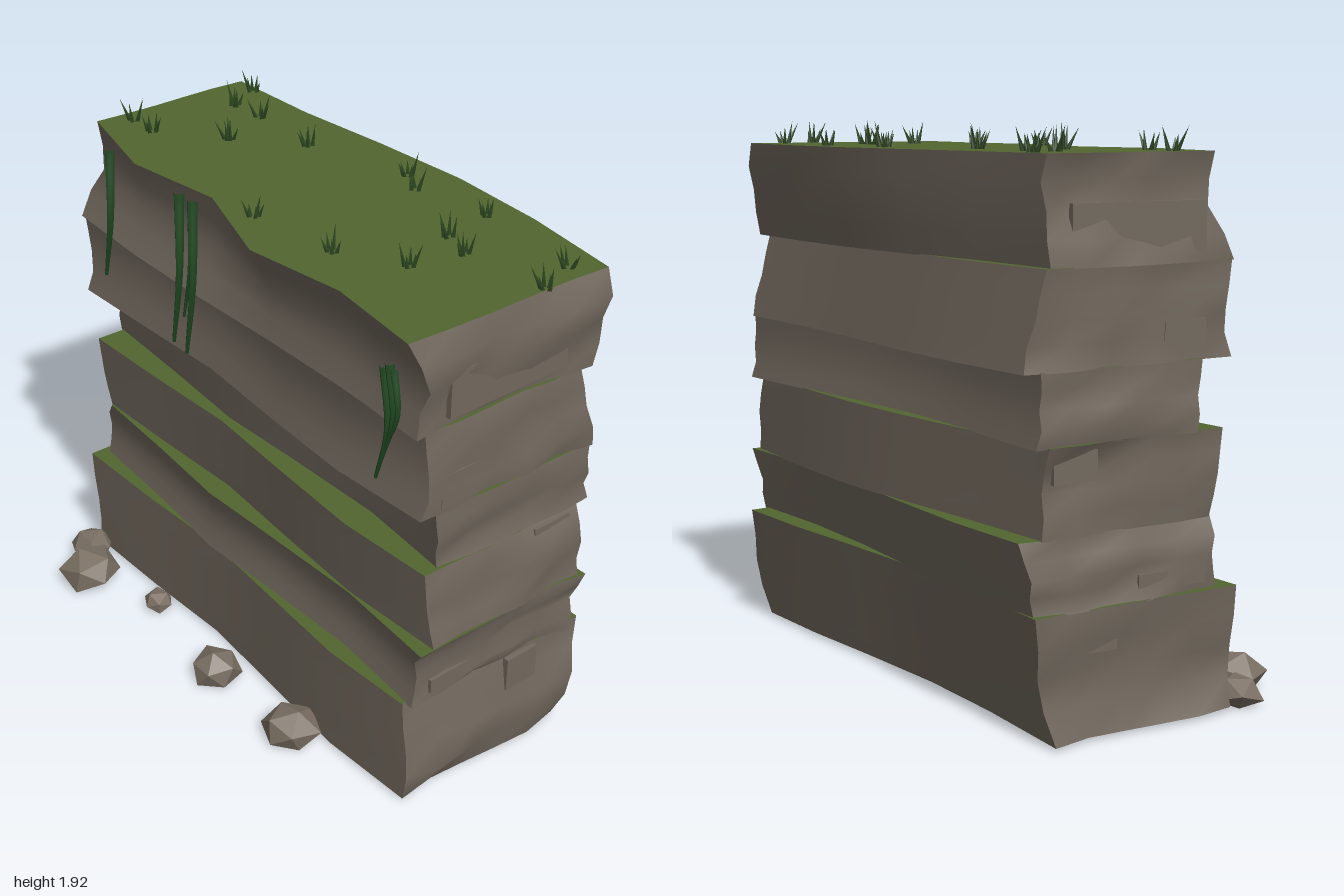
import * as THREE from 'three';

const material = (name, color, extra) => {
  const m = new THREE.MeshStandardMaterial({ color, ...extra });
  m.name = name;
  return m;
};
const rock = material('rock', 0x736a5f);
const stone = material('loose stone', 0x7a6f63, { flatShading: true });
const moss = material('moss', 0x516630);
const vineGreen = material('vine green', 0x1f4720);
const bladeGreen = material('grass blade green', 0x2f4a22, { side: THREE.DoubleSide });

const lerp = THREE.MathUtils.lerp;
// Repeatable noise in -1..1
const noise = (a, b = 0, c = 0) => {
  const s = Math.sin(a * 12.99 + b * 78.23 + c * 37.72) * 43758.5453;
  return (s - Math.floor(s)) * 2 - 1;
};

// Rock layers from the ground up: height of the top, then the base, lip and hollow
// between them for the front and the back
const strata = [
  { top: 0.43, front: [0.26, 0.265, 0], back: [-0.43, -0.5, 0] },
  { top: 0.66, front: [0.24, 0.235, 0.02], back: [-0.47, -0.51, 0] },
  { top: 0.95, front: [0.19, 0.215, 0], back: [-0.485, -0.48, 0] },
  { top: 1.18, front: [0.14, 0.165, 0], back: [-0.485, -0.46, 0.01] },
  { top: 1.49, front: [0.25, 0.235, 0.02], back: [-0.515, -0.45, 0] },
  { top: 1.83, front: [0.275, 0.26, 0.04], back: [-0.465, -0.5, -0.005] },
];
// Front edge of the summit, left end of the array at -x
const rim = [0.18, 0.27, 0.21, 0.33, 0.27, 0.31];

// A rock layer with a mossy top, shaped from a subdivided box
function makeStratum(s, n) {
  const geo = new THREE.BoxGeometry(1, 1, 1, 5, 4, 5);
  const p = geo.attributes.position;
  const summit = n === strata.length - 1;
  const bottom = n ? strata[n - 1].top - 0.004 : 0.015;
  for (let q = 0; q < p.count; q++) {
    const i = Math.round((p.getX(q) + 0.5) * 5);
    const v = p.getY(q) + 0.5, j = Math.round(v * 4);
    const w = p.getZ(q) + 0.5, k = Math.round(w * 5);
    const wave = summit ? 0.015 * Math.sin(i * 1.2) : 0.02 * Math.sin(i * 1.7 + 1.2 - n * 3.1);
    const bow = Math.sin(Math.PI * v);
    const front = lerp(s.front[0] + wave, summit ? rim[i] : s.front[1] + wave, v) - s.front[2] * bow;
    const back = lerp(s.back[0], s.back[1], v) + s.back[2] * bow
      - (summit ? lerp(0.03, 0.048, v) : 0.03) * Math.sin(i - 1.7 + (5 - n) * 2.2);
    let x = lerp(-0.945, 0.955, i / 5);
    if (i === 0 || i === 5) x += (noise(j, n) * 0.02 + noise(k, j, n) * 0.016) * (summit && j === 4 ? 0.4 : 1);
    p.setXYZ(q, x, lerp(bottom, s.top, v), lerp(back, front, w));
  }
  geo.computeVertexNormals();
  const mesh = new THREE.Mesh(geo, [rock, rock, moss, rock, rock, rock]);
  mesh.name = 'rockStratum';
  return mesh;
}

// Small slab half buried in one end of the cliff
function makeSlab([z, y, depth, height], side) {
  const slab = new THREE.Mesh(new THREE.BoxGeometry(0.1, height, depth), rock);
  slab.position.set(0.005 + side * 0.903, y, z);
  slab.rotation.y = side * 0.04;
  slab.name = 'sideSlab';
  return slab;
}

// Bowed vine that narrows to its tip
function makeVine([x, top, tip, radius]) {
  const curve = new THREE.CatmullRomCurve3([
    new THREE.Vector3(x, top, top > 1.75 ? 0.265 : 0.29),
    new THREE.Vector3(x + 0.03, (top + tip) / 2, 0.295),
    new THREE.Vector3(x - 0.02, tip, 0.295),
  ]);
  const rings = 12, sides = 6;
  const geo = new THREE.TubeGeometry(curve, rings, radius, sides);
  const p = geo.attributes.position, v = new THREE.Vector3();
  for (let q = 0; q < p.count; q++) {
    const t = Math.floor(q / (sides + 1)) / rings;
    v.fromBufferAttribute(p, q).lerp(curve.getPointAt(t), t * 0.65);
    p.setXYZ(q, v.x, v.y, v.z);
  }
  geo.computeVertexNormals();
  const mesh = new THREE.Mesh(geo, vineGreen);
  mesh.name = 'hangingVine';
  return mesh;
}

// Faceted stone with a flattened base
function makeStone([x, z, r], n) {
  const geo = new THREE.IcosahedronGeometry(1, 0);
  geo.rotateX(n * 1.3 + 0.4).rotateY(n * 2.1);
  const p = geo.attributes.position;
  for (let q = 0; q < p.count; q++) {
    const a = p.getX(q), b = p.getY(q), c = p.getZ(q);
    const k = r * (1.02 + 0.09 * Math.sin(a * 5 + b * 7 + c * 3 + n));
    p.setXYZ(q, a * k, Math.max(0, r * (0.42 + b * 0.78)), c * k);
  }
  geo.computeVertexNormals();
  const mesh = new THREE.Mesh(geo, stone);
  mesh.position.set(x, 0.003, z);
  mesh.name = 'looseStone';
  return mesh;
}

// Clump of unevenly leaning grass blades
function makeTuft([x, z], n) {
  const tuft = new THREE.Group();
  tuft.name = 'grassTuft';
  for (let i = 0; i < 5; i++) {
    const h = 0.07 + 0.024 * noise(n, i);
    const blade = new THREE.Mesh(new THREE.ConeGeometry(0.009, h, 3).translate(0, h / 2, 0), bladeGreen);
    blade.name = 'grassBlade';
    const a = i * 1.26 + n + noise(i, n) * 0.6;
    const lean = 0.28 + 0.2 * noise(n, i, 2);
    blade.position.set(Math.cos(a) * 0.014, 0, Math.sin(a) * 0.014);
    blade.rotation.set(Math.sin(a) * lean, 0, -Math.cos(a) * lean);
    tuft.add(blade);
  }
  tuft.position.set(x, 1.828, z);
  return tuft;
}

export function createModel() {
  const model = new THREE.Group();
  model.name = 'rockCliff';
  strata.forEach((s, n) => model.add(makeStratum(s, n)));

  // Slabs on both ends: z, y, depth, height
  const slabs = [[0.04, 0.48, 0.26, 0.055], [-0.25, 0.35, 0.14, 0.13], [-0.34, 0.88, 0.16, 0.1],
    [0.08, 1.25, 0.16, 0.12], [-0.1, 1.6, 0.5, 0.16]];
  for (const side of [-1, 1]) slabs.forEach(s => model.add(makeSlab(s, side)));

  // Vines over the front edge: x, top, tip, radius
  const vines = [[-0.735, 1.82, 1.33, 0.02], [-0.3, 1.82, 1.25, 0.02], [-0.22, 1.82, 1.24, 0.02],
    [-0.23, 1.82, 1.38, 0.014], [0.82, 1.69, 1.28, 0.016], [0.845, 1.71, 1.36, 0.016], [0.865, 1.7, 1.42, 0.013]];
  vines.forEach(v => model.add(makeVine(v)));

  // Stones at the foot: x, z, radius
  const stones = [[-0.915, 0.345, 0.088], [-0.77, 0.44, 0.116], [-0.46, 0.325, 0.06],
    [0.02, 0.385, 0.096], [0.45, 0.365, 0.108]];
  stones.forEach((s, n) => model.add(makeStone(s, n)));

  // Grass on the summit: x, z
  const tufts = [[-0.84, -0.43], [-0.77, -0.3], [-0.63, -0.31], [-0.33, -0.3], [0.07, -0.42], [0.17, -0.37],
    [0.46, -0.43], [0.5, -0.23], [0.62, -0.19], [0.88, -0.39], [0.94, -0.24], [0.58, 0], [0.36, 0.13],
    [0.01, 0.18], [-0.54, -0.11], [-0.76, 0.07], [-0.88, 0.07]];
  tufts.forEach((t, n) => model.add(makeTuft(t, n)));
  return model;
}
